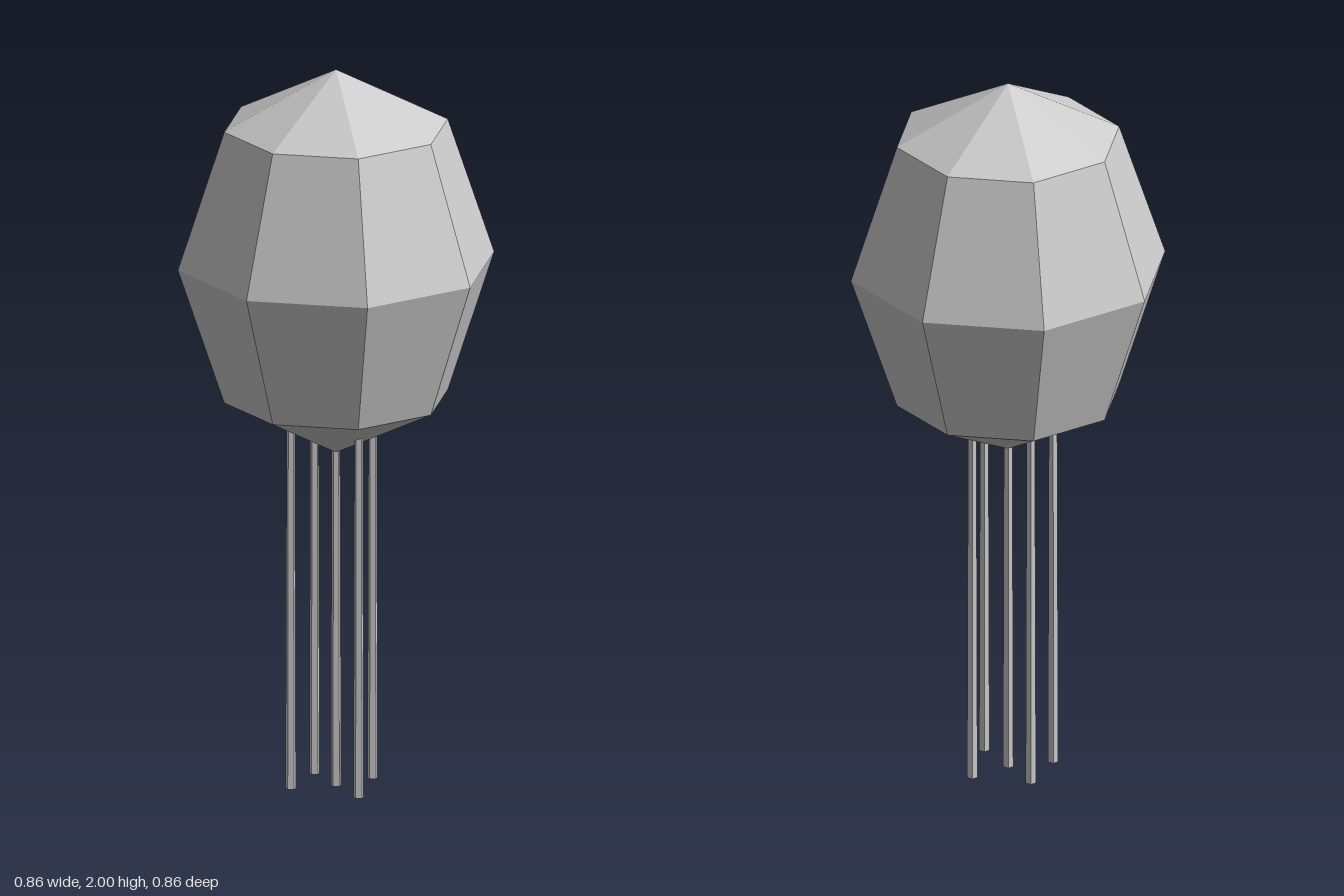
import * as THREE from 'three';

export function createModel() {
  const group = new THREE.Group();
  const material = new THREE.MeshStandardMaterial({ color: 0xcccccc, flatShading: true });

  // Faceted, vertically stretched bell
  const bell = new THREE.Mesh(new THREE.SphereGeometry(0.43, 8, 4), material);
  bell.name = 'bell';
  bell.scale.y = 0.535 / 0.43;
  bell.position.y = 1.465;
  group.add(bell);

  // Thin tentacles, slightly thicker at the foot, tops sunk into the bell
  const height = 1.07;
  const tentacleGeometry = new THREE.CylinderGeometry(0.0115, 0.0145, height, 5);
  const spots = [[0, 0], [-0.085, 0.09], [-0.107, -0.057], [0.11, 0.056], [0.044, -0.11]];
  const tentacles = new THREE.Group();
  tentacles.name = 'tentacles';
  for (const [x, z] of spots) {
    const tentacle = new THREE.Mesh(tentacleGeometry, material);
    tentacle.name = 'tentacle';
    tentacle.position.set(x, height / 2, z);
    tentacles.add(tentacle);
  }
  group.add(tentacles);

  return group;
}
